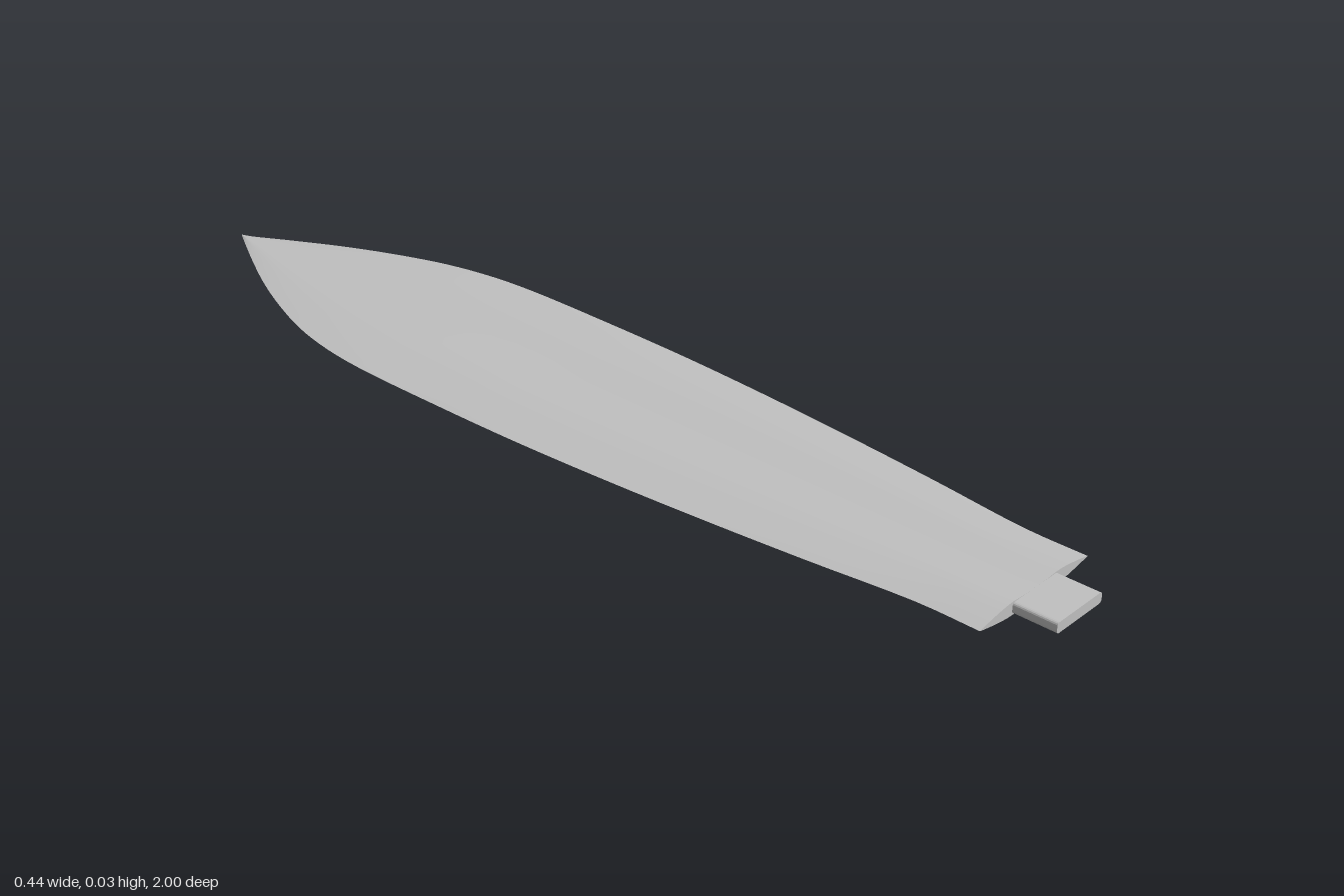
import * as THREE from 'three';

const MID = 0.0128; // height of the cutting edges
const BASE = 0.918; // z of the blade's square end

// [z, half width] along the blade
const OUTLINE = [[BASE, 0.146], [0.8, 0.147], [0.6, 0.17], [0.4, 0.19], [0.2, 0.206], [0, 0.217], [-0.2, 0.221],
  [-0.4, 0.22], [-0.5, 0.211], [-0.6, 0.19], [-0.7, 0.155], [-0.8, 0.111], [-0.9, 0.058], [-1, 0.0005]];
// [share of half width, share of half thickness] across the blade
const SECTION = [[0, 0.82], [0.2, 0.83], [0.3, 0.92], [0.4, 1], [0.52, 0.94], [0.65, 0.76], [0.8, 0.47], [0.9, 0.25], [1, 0]];

const lerp = THREE.MathUtils.lerp;

function halfThickness(z) {
  return z > -0.15 ? 0.0126 : lerp(0.0126, 0.002, Math.pow((-0.15 - z) / 0.85, 1.5));
}

// One cross-section from right edge to left edge; the hollow fades out towards the tip
function sectionPoints(z, w, side) {
  const fade = THREE.MathUtils.smoothstep(-z, 0.1, 0.5);
  const half = SECTION.map(([u, t]) => [u * w, u < 0.4 ? lerp(t, 1, fade) : t]);
  const mirrored = half.slice(1).reverse().map(([x, t]) => [-x, t]);
  return [...mirrored, ...half].map(([x, t]) => [x, MID + side * t * halfThickness(z), z]);
}

// Upper (side 1) or lower (side -1) face, lofted through the sections
function bladeFace(side) {
  const curve = new THREE.CatmullRomCurve3(OUTLINE.map(([z, w]) => new THREE.Vector3(w, 0, z)), false, 'centripetal');
  const rows = curve.getPoints(52).map((p) => sectionPoints(p.z, p.x, side));
  const n = rows[0].length;
  const index = [];
  for (let r = 0; r < rows.length - 1; r++) {
    for (let c = 0; c < n - 1; c++) {
      const a = r * n + c, b = a + 1, d = a + n, e = d + 1;
      if (side > 0) index.push(a, b, d, b, e, d);
      else index.push(a, d, b, b, d, e);
    }
  }
  const geo = new THREE.BufferGeometry();
  geo.setAttribute('position', new THREE.Float32BufferAttribute(rows.flat(2), 3));
  geo.setIndex(index);
  geo.computeVertexNormals();
  return geo;
}

export function createModel() {
  const model = new THREE.Group();
  model.name = 'blade';
  const steel = new THREE.MeshStandardMaterial({ color: 0xc0c0c0 });
  steel.name = 'pale grey steel';
  const add = (name, geo) => {
    const mesh = new THREE.Mesh(geo, steel);
    mesh.name = name;
    model.add(mesh);
    return mesh;
  };

  add('upperFace', bladeFace(1));
  add('lowerFace', bladeFace(-1));

  // Flat end of the blade
  const top = sectionPoints(BASE, OUTLINE[0][1], 1);
  const bottom = sectionPoints(BASE, OUTLINE[0][1], -1).slice(1, -1).reverse();
  const endShape = new THREE.Shape([...top, ...bottom].map(([x, y]) => new THREE.Vector2(x, y)));
  add('bladeEnd', new THREE.ShapeGeometry(endShape)).position.z = BASE;

  // Tang with softened sides
  const w = 0.061, h = 0.0102, r = 0.007;
  const tang = new THREE.Shape();
  tang.moveTo(-w + r, -h);
  tang.lineTo(w - r, -h);
  tang.quadraticCurveTo(w, -h, w, -h + r);
  tang.lineTo(w, h - r);
  tang.quadraticCurveTo(w, h, w - r, h);
  tang.lineTo(-w + r, h);
  tang.quadraticCurveTo(-w, h, -w, h - r);
  tang.lineTo(-w, -h + r);
  tang.quadraticCurveTo(-w, -h, -w + r, -h);
  add('tang', new THREE.ExtrudeGeometry(tang, { depth: 1 - BASE, bevelEnabled: false, curveSegments: 4 }))
    .position.set(0, MID, BASE);

  return model;
}
